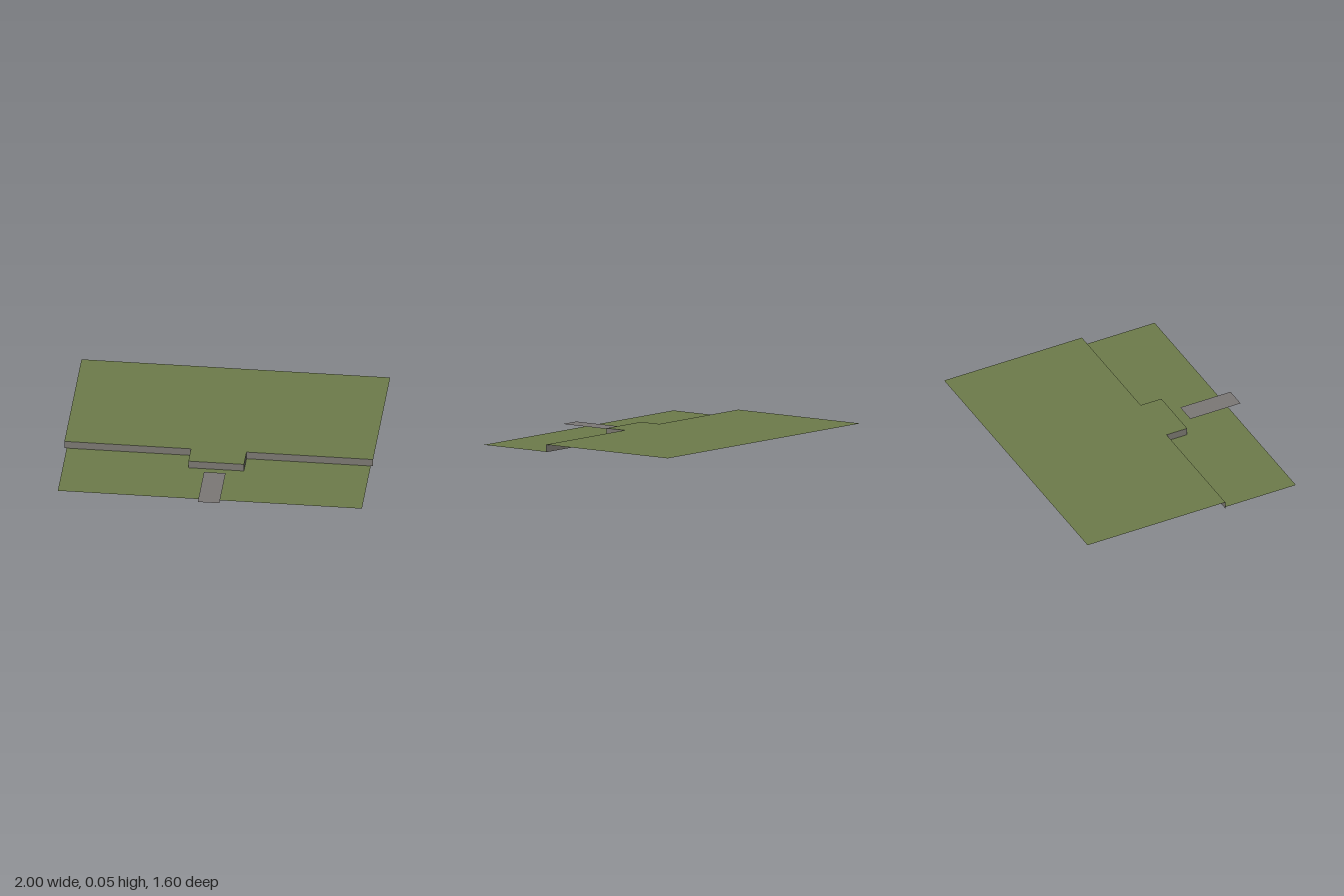
import * as THREE from 'three';

const mat = (name, color) =>
  new THREE.MeshStandardMaterial({ name, color, side: THREE.DoubleSide });

// flat horizontal sheet from an outline of [x, z] points, facing up
function sheet(name, outline, y, material) {
  const shape = new THREE.Shape(outline.map(([x, z]) => new THREE.Vector2(x, -z)));
  const geometry = new THREE.ShapeGeometry(shape).rotateX(-Math.PI / 2);
  const mesh = new THREE.Mesh(geometry, material);
  mesh.name = name;
  mesh.position.y = y;
  return mesh;
}

const rect = (w, z0, z1) => [[-w, z0], [-w, z1], [w, z1], [w, z0]];

export function createModel() {
  const group = new THREE.Group();
  group.name = 'terrain';
  const grass = mat('grass', 0x6c7a4a);
  const stone = mat('stone', 0x7a7770);
  const pathGrey = mat('pathGrey', 0x7b7775);
  const earth = mat('earth', 0x847a48);

  const height = 0.05, edge = 0.2, bay = 0.35, bayHalf = 0.18;

  // stepped line along which the two levels meet
  const step = [
    [-1, edge], [-bayHalf, edge], [-bayHalf, bay],
    [bayHalf, bay], [bayHalf, edge], [1, edge],
  ];

  // raised ground, with a bay pushing forward
  group.add(sheet('upperGround', [[-1, -0.8], ...step, [1, -0.8]], height, grass));

  // lower ground, cut around the bay
  const w = 0.985;
  const inner = step.map(([x, z]) => [Math.max(-w, Math.min(w, x)), z]);
  group.add(sheet('lowerGround', [...inner, [w, 0.72], [-w, 0.72]], 0, grass));

  // floor beneath the bay
  group.add(sheet('bayFloor', rect(bayHalf, edge, bay), 0, earth));

  // retaining wall, one upright panel per stretch of the step
  const wall = new THREE.Group();
  wall.name = 'retainingWall';
  for (let i = 0; i < step.length - 1; i++) {
    const [x0, z0] = step[i], [x1, z1] = step[i + 1];
    const panel = new THREE.Mesh(
      new THREE.PlaneGeometry(Math.hypot(x1 - x0, z1 - z0), height), stone);
    panel.name = 'wallPanel' + (i + 1);
    panel.position.set((x0 + x1) / 2, height / 2, (z0 + z1) / 2);
    panel.rotation.y = -Math.atan2(z1 - z0, x1 - x0);
    wall.add(panel);
  }
  group.add(wall);

  // path slab floating between the two levels
  group.add(sheet('path', rect(0.07, 0.43, 0.795), 0.025, pathGrey));

  return group;
}
